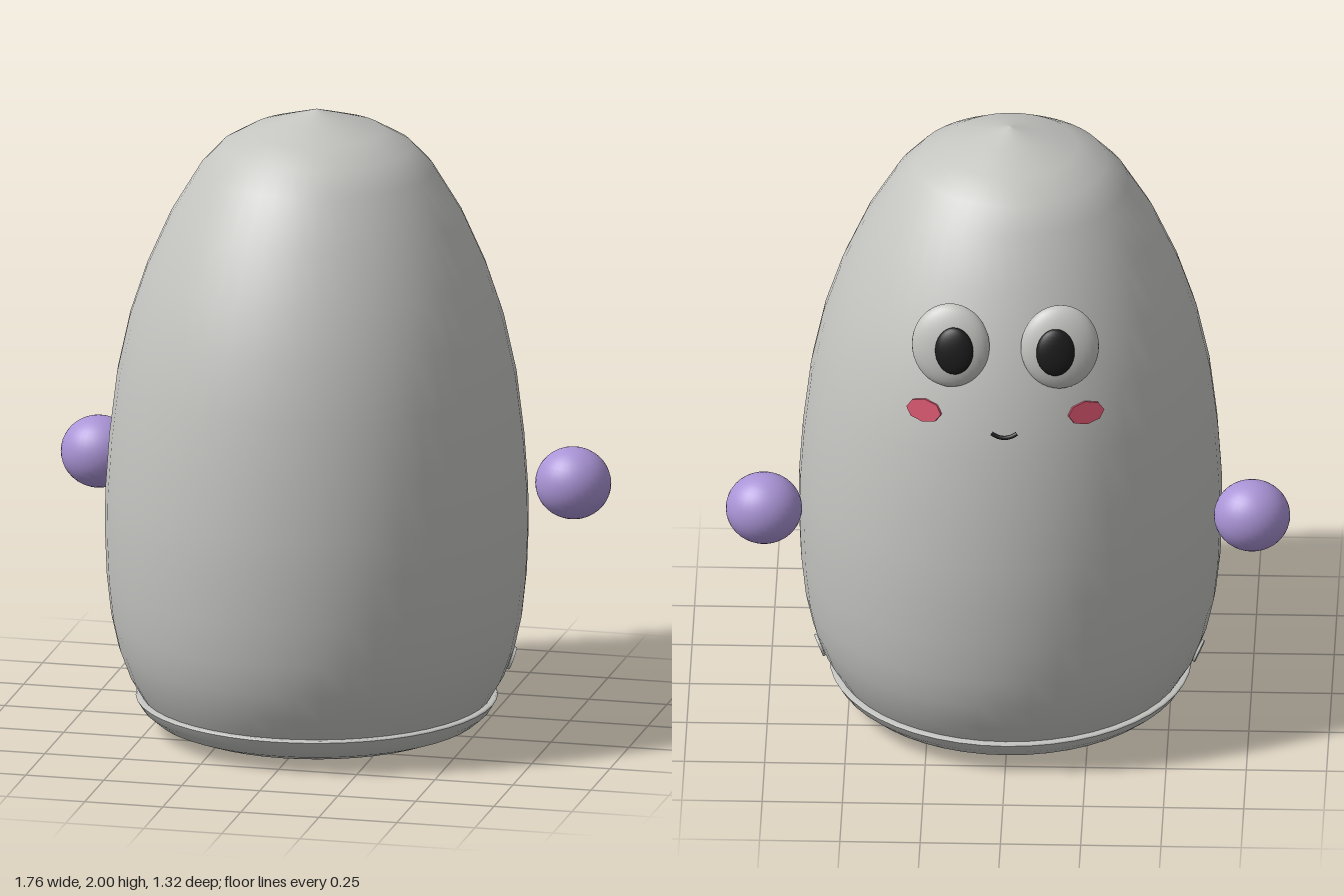
import * as THREE from 'three';

const mat = (name, color) => {
  const m = new THREE.MeshStandardMaterial({ color });
  m.name = name;
  return m;
};

// Body outline as [radius, height], bottom to top
const PROFILE = [
  [0.545, 0.112], [0.585, 0.18], [0.618, 0.27], [0.64, 0.37], [0.654, 0.5], [0.66, 0.65], [0.658, 0.78],
  [0.646, 0.95], [0.622, 1.15], [0.583, 1.33], [0.53, 1.49], [0.455, 1.66], [0.365, 1.81],
  [0.3, 1.88], [0.21, 1.932], [0.1, 1.968], [0, 2],
];

function radiusAt(y) {
  const i = PROFILE.findIndex((p) => p[1] >= y);
  const [r0, y0] = PROFILE[i - 1], [r1, y1] = PROFILE[i];
  return r0 + (r1 - r0) * (y - y0) / (y1 - y0);
}

export function createModel() {
  const model = new THREE.Group();
  const grey = mat('pale grey', 0xc4c4c1);
  const purple = mat('purple', 0xaa94d6);
  const black = mat('black', 0x1c1c1c);
  const pink = mat('pink', 0xd3536c);

  const add = (parent, name, geometry, material) => {
    const mesh = new THREE.Mesh(geometry, material);
    mesh.name = name;
    parent.add(mesh);
    return mesh;
  };
  const lathe = (pts) => new THREE.LatheGeometry(pts.map(([r, y]) => new THREE.Vector2(r, y)), 48);

  // Places a thin disc on the body surface, facing outwards
  const disc = (name, material, x, y, side, w, h, sides) => {
    const r = radiusAt(y);
    const slope = (radiusAt(y + 0.04) - radiusAt(y - 0.04)) / 0.08;
    const z = -Math.sqrt(r * r - x * x);
    const normal = new THREE.Vector3(x / r, -slope, z / r).normalize();
    const geometry = new THREE.CylinderGeometry(1, 1, 0.009, sides).rotateX(Math.PI / 2).scale(w, h, 1);
    const mesh = add(model, name, geometry, material);
    mesh.position.set(x, y, z).addScaledVector(normal, 0.005);
    mesh.lookAt(mesh.position.clone().add(normal));
    return mesh;
  };

  // Egg-shaped body
  add(model, 'body', lathe(PROFILE), grey);

  // Shallow dish underneath, with a narrow lip
  add(model, 'base', lathe([[0, 0.012], [0.28, 0.006], [0.36, 0.008], [0.45, 0.022], [0.51, 0.045], [0.545, 0.075], [0.564, 0.106]]), grey);
  add(model, 'baseLip', lathe([[0.564, 0.106], [0.56, 0.112], [0.53, 0.112]]), grey);
  add(model, 'foot', new THREE.CylinderGeometry(0.3, 0.28, 0.012, 48).translate(0, 0.006, 0), grey);

  for (const [side, s] of [['left', 1], ['right', -1]]) {
    // Floating round hand
    const hand = add(model, side + 'Hand', new THREE.SphereGeometry(1, 32, 20), purple);
    hand.scale.set(0.119, 0.114, 0.109);
    hand.position.set(s * 0.76, 0.77, -0.253);

    // Bulging eye with a domed pupil
    const eye = new THREE.Group();
    eye.name = side + 'Eye';
    eye.position.set(s * 0.17, 1.505, -0.517);
    eye.rotation.set(0.2, -s * 0.1, 0);
    model.add(eye);
    add(eye, 'eyeball', new THREE.SphereGeometry(1, 32, 20).scale(0.122, 0.135, 0.048), grey);
    const pupil = add(eye, 'pupil', new THREE.SphereGeometry(1, 24, 16).scale(0.06, 0.076, 0.024), black);
    pupil.position.set(-s * 0.017, -0.004, -0.047);

    // Cheek and low side button
    disc(side + 'Cheek', pink, s * 0.25, 1.285, s, 0.06, 0.037, 8);
    disc(side + 'Button', grey, s * 0.585, 0.225, s, 0.037, 0.037, 20);
  }

  // Small smile
  const smile = new THREE.QuadraticBezierCurve3(
    new THREE.Vector3(-0.04, 1.254, -0.626),
    new THREE.Vector3(0, 1.226, -0.634),
    new THREE.Vector3(0.04, 1.254, -0.626),
  );
  add(model, 'mouth', new THREE.TubeGeometry(smile, 12, 0.007, 8), black);

  return model;
}
